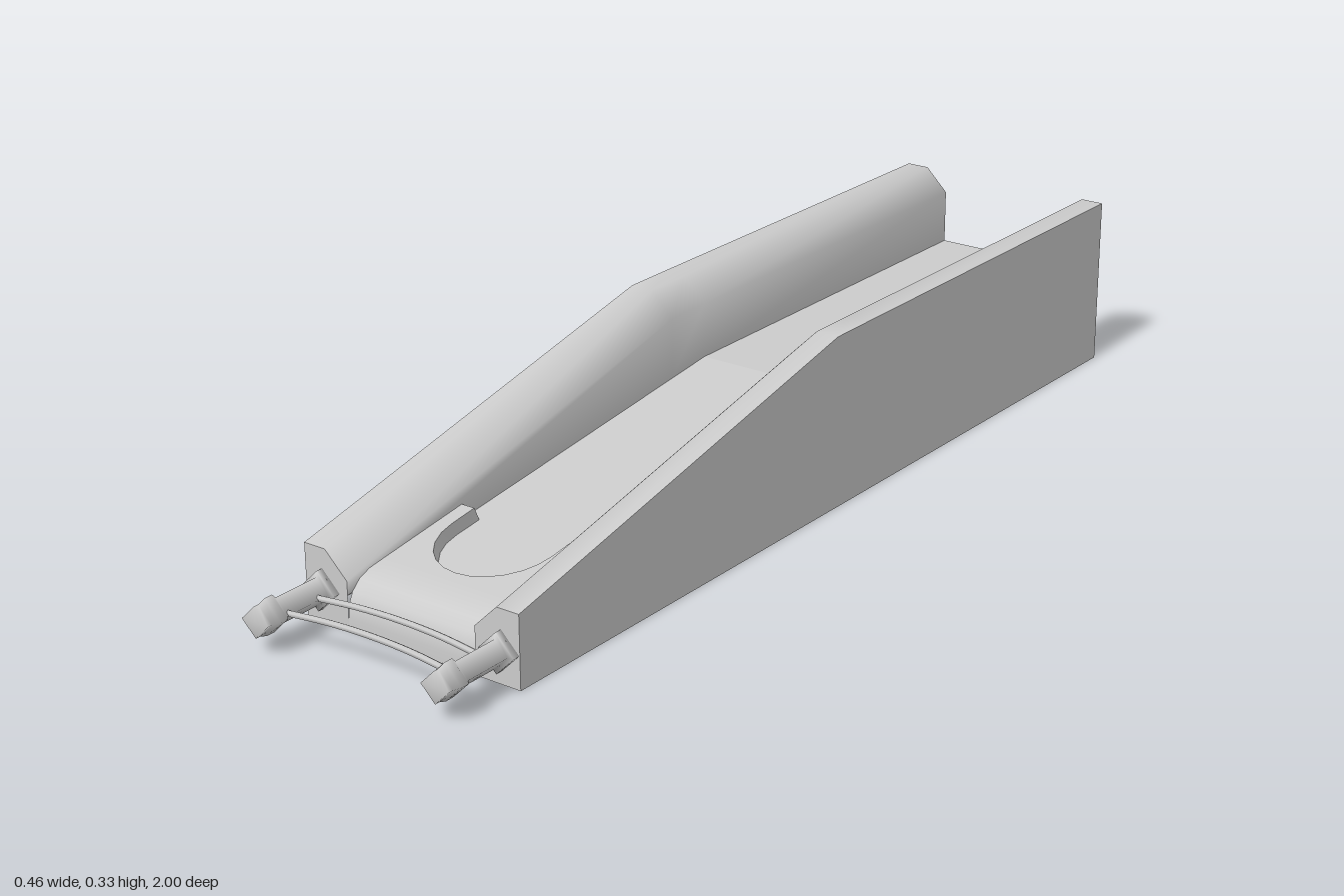
import * as THREE from 'three';
import { toCreasedNormals } from 'three/addons/utils/BufferGeometryUtils.js';

const material = new THREE.MeshStandardMaterial({ color: 0xcccccc, side: THREE.DoubleSide });

// Joins rows of [x, y, z] points into a smooth or creased skin
function loft(rows, crease = 0) {
  const n = rows[0].length, index = [];
  for (let i = 0; i < rows.length - 1; i++) {
    for (let j = 0; j < n - 1; j++) {
      const a = i * n + j, b = a + n;
      index.push(a, a + 1, b, b, a + 1, b + 1);
    }
  }
  const geo = new THREE.BufferGeometry();
  geo.setAttribute('position', new THREE.Float32BufferAttribute(rows.flat(2), 3));
  geo.setIndex(index);
  if (crease) return toCreasedNormals(geo, crease);
  geo.computeVertexNormals();
  return geo;
}

function add(parent, name, geometry) {
  const mesh = new THREE.Mesh(geometry, material);
  mesh.name = name;
  parent.add(mesh);
  return mesh;
}

const FRONT = 0.84, BACK = -1, INNER = 0.138, OUTER = 0.231;
const railTop = z => Math.min(0.332, 0.135 + (FRONT - z) * 0.221);
const rampY = z => Math.min(0.18, 0.18 - (z + 0.15) * 0.118);
const plateY = z => 0.125 - (z - 0.55) * 0.135;

// One open-bottomed side rail; s is +1 for left, -1 for right
function makeRail(s) {
  const rail = new THREE.Group();
  rail.name = s > 0 ? 'leftRail' : 'rightRail';
  const stations = [FRONT, -0.05, -0.15, BACK];
  if (s > 0) stations.reverse();

  add(rail, 'outerWall', loft(stations.map(z => [
    [s * OUTER, 0, z], [s * OUTER, railTop(z), z]])));

  add(rail, 'topAndInnerWall', loft(stations.map(z => [
    [s * OUTER, railTop(z), z],
    [s * 0.185, railTop(z), z],
    [s * INNER, railTop(z) - 0.046, z],
    [s * INNER, rampY(z), z]])));

  // Front end cap
  const t = railTop(FRONT);
  const cap = new THREE.Shape([[OUTER, 0], [OUTER, t], [0.185, t], [INNER, t - 0.046], [INNER, 0]]
    .map(([x, y]) => new THREE.Vector2(s * x, y)));
  add(rail, 'frontCap', new THREE.ShapeGeometry(cap)).position.z = FRONT;

  // Four-sided peg with collar and waisted head
  const profile = [[0, 0], [0.037, 0], [0.037, 0.014], [0.026, 0.016], [0.026, 0.11],
    [0.034, 0.118], [0.034, 0.135], [0.029, 0.15], [0.029, 0.16], [0, 0.16]]
    .map(p => new THREE.Vector2(...p));
  const peg = add(rail, 'peg', new THREE.LatheGeometry(profile, 4));
  peg.rotation.x = Math.PI / 2;
  peg.position.set(s * 0.193, 0.061, FRONT);
  return rail;
}

export function createModel() {
  const model = new THREE.Group();
  model.add(makeRail(1), makeRail(-1));

  // U-shaped line where the front plate steps down to the ramp
  const edge = [[-INNER, 0.55], [-0.11, 0.55]];
  for (let i = 0; i <= 12; i++) {
    const a = Math.PI * i / 12;
    edge.push([-0.11 * Math.cos(a), 0.61 + 0.118 * Math.sin(a)]);
  }
  edge.push([0.11, 0.55], [INNER, 0.55]);
  const low = ([x, z]) => [x, rampY(z - 0.012), z - 0.012];

  // Flat bed and sloping ramp, ending at the U
  add(model, 'ramp', loft(edge.map(p => [low(p), [p[0], 0.18, -0.15], [p[0], 0.18, BACK]]), 0.05));

  // Upright wall of the step
  add(model, 'stepWall', loft(edge.map(p => [[p[0], plateY(p[1]), p[1]], low(p)]), 0.6));

  // Front plate rolling over into the front face
  const roll = [[0.75, 0.098], [0.785, 0.093], [0.81, 0.083], [0.828, 0.066], [0.838, 0.045],
    [FRONT, 0.022], [FRONT, 0]];
  add(model, 'frontPlate', loft(edge.map(([x, z]) => [
    [x, plateY(z), z], ...roll.map(([rz, ry]) => [x, ry, rz])]), 0.7));

  // Two bowed rods between the pegs
  for (const z of [0.875, 0.945]) {
    const curve = new THREE.CatmullRomCurve3([-0.185, -0.09, 0, 0.09, 0.185].map(x => {
      const bow = 1 - (x / 0.185) ** 2;
      return new THREE.Vector3(x, 0.061 + 0.006 * bow, z - 0.011 * bow);
    }));
    add(model, 'crossRod', new THREE.TubeGeometry(curve, 16, 0.006, 6));
  }
  return model;
}
